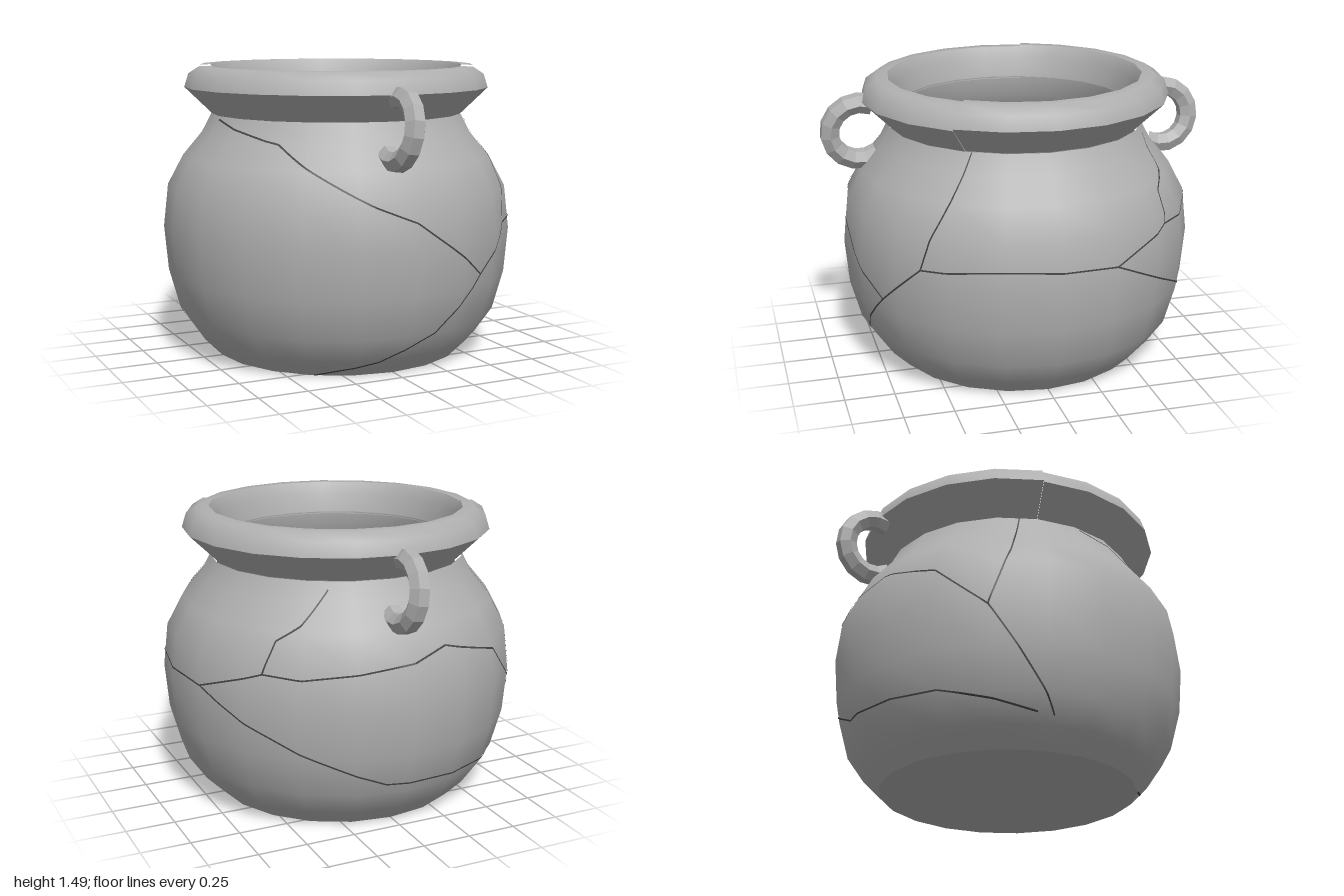
import * as THREE from 'three';

const SIDES = 20, STEP = Math.PI * 2 / SIDES, DEG = Math.PI / 180;
const BODY = [[0.65, 0], [0.74, 0.09], [0.83, 0.22], [0.885, 0.42], [0.905, 0.65],
  [0.88, 0.87], [0.80, 1.02], [0.70, 1.14], [0.65, 1.235]];

const clay = new THREE.MeshStandardMaterial({ color: 0xb0b0b0 });
clay.name = 'grey clay';
const facetedClay = clay.clone();
facetedClay.flatShading = true;
const crackDark = new THREE.MeshStandardMaterial({ color: 0x444444, side: THREE.DoubleSide });
crackDark.name = 'dark crack';

function lathe(name, profile, first = 0, count = SIDES) {
  const pts = profile.map(([r, y]) => new THREE.Vector2(r, y));
  const mesh = new THREE.Mesh(new THREE.LatheGeometry(pts, count, first * STEP, count * STEP), clay);
  mesh.name = name;
  return mesh;
}

// Point just above the faceted body at angle a (from +z towards +x) and height y
function onBody(a, y) {
  const h = THREE.MathUtils.clamp(y, 0, 1.235);
  let i = 0;
  while (i < BODY.length - 2 && BODY[i + 1][1] < h) i++;
  const [r0, y0] = BODY[i], [r1, y1] = BODY[i + 1];
  const r = r0 + (r1 - r0) * (h - y0) / (y1 - y0);
  const local = a - (Math.floor(a / STEP) + 0.5) * STEP;
  const d = r * Math.cos(STEP / 2) / Math.cos(local) + 0.004;
  return [d * Math.sin(a), h, d * Math.cos(a)];
}

// Thin ribbon along a path of [angle in degrees, height]
function crack(path, width = 0.008) {
  const pos = [], index = [];
  for (let s = 0; s < path.length - 1; s++) {
    const [a0, y0] = path[s], [a1, y1] = path[s + 1];
    const along = (a1 - a0) * DEG * 0.85, up = y1 - y0, len = Math.hypot(along, up);
    const n = Math.max(2, Math.ceil(len / 0.03));
    const da = -up / len * width / 2 / 0.85, dy = along / len * width / 2;
    for (let k = 0; k <= n; k++) {
      const a = (a0 + (a1 - a0) * k / n) * DEG, y = y0 + up * k / n;
      if (k > 0) {
        const b = pos.length / 3;
        index.push(b - 2, b, b - 1, b - 1, b, b + 1);
      }
      pos.push(...onBody(a + da, y + dy), ...onBody(a - da, y - dy));
    }
  }
  const g = new THREE.BufferGeometry();
  g.setAttribute('position', new THREE.Float32BufferAttribute(pos, 3));
  g.setIndex(index);
  g.computeVertexNormals();
  const mesh = new THREE.Mesh(g, crackDark);
  mesh.name = 'crack';
  return mesh;
}

// C-shaped loop handle standing out along +z
function handle(name, x, tilt) {
  const pts = [];
  for (let k = 0; k <= 10; k++) {
    const t = (112 - 237 * k / 10) * DEG;
    pts.push(new THREE.Vector3(0, Math.sin(t) * 0.153, Math.cos(t) * 0.153));
  }
  const g = new THREE.TubeGeometry(new THREE.CatmullRomCurve3(pts), 10, 0.053, 6);
  const mesh = new THREE.Mesh(g, facetedClay);
  mesh.name = name;
  mesh.position.set(x, 1.21, 0.795);
  mesh.rotation.z = tilt;
  return mesh;
}

export function createModel() {
  const pot = new THREE.Group();
  pot.name = 'crackedPot';

  // Body, base and hollow inside
  pot.add(lathe('body', BODY));
  pot.add(lathe('base', [[0, 0], [0.65, 0]]));
  pot.add(lathe('innerWall', [[0.59, 1.32], [0.6, 1.22], [0.66, 1.1], [0.76, 0.98], [0.82, 0.85],
    [0.84, 0.65], [0.82, 0.43], [0.76, 0.25], [0.6, 0.07]]));
  pot.add(lathe('innerFloor', [[0.6, 0.07], [0, 0.07]]));

  // Rim in two broken pieces, one sitting slightly higher
  for (const [first, count, lift] of [[3, 11, 0.008], [14, 9, 0]]) {
    const piece = new THREE.Group();
    piece.name = 'rimPiece';
    piece.position.y = lift;
    piece.add(
      lathe('rimUnderside', [[0.64, 1.227], [0.787, 1.37]], first, count),
      lathe('rimTop', [[0.787, 1.37], [0.765, 1.44], [0.71, 1.475], [0.65, 1.477]], first, count),
      lathe('rimInside', [[0.65, 1.477], [0.615, 1.42], [0.59, 1.31]], first, count));
    pot.add(piece);
  }

  // Handles at front and back
  pot.add(handle('frontHandle', -0.055, -0.13));
  const back = new THREE.Group();
  back.name = 'backHandleMount';
  back.rotation.y = Math.PI;
  back.add(handle('backHandle', -0.025, -0.12));
  pot.add(back);

  // Crack lines between the mended shards
  const cracks = [
    [[-88, 1.22], [-48, 1.13], [-30, 0.99], [-13, 0.86], [0, 0.78], [14, 0.63], [28, 0.48]],
    [[45, 0.7], [36, 0.58], [28, 0.48], [10, 0.22], [-9, 0.08], [-35, 0]],
    [[45, 0.7], [48, 0.85], [53, 1.03], [57, 1.235]],
    [[45, 0.7], [72, 0.735], [108, 0.71], [132, 0.83], [145, 0.82], [180, 0.88], [193, 0.93],
      [216, 0.84], [233, 0.62]],
    [[108, 0.71], [130, 0.55], [155, 0.38], [172, 0.27], [216, 0.24], [249, 0.14]],
    [[244, 1.235], [240, 0.95], [233, 0.62], [245, 0.35], [255, 0.13]],
    [[132, 0.83], [135, 0.98], [143, 1.05], [152, 1.2]],
  ];
  for (const path of cracks) pot.add(crack(path));
  return pot;
}
